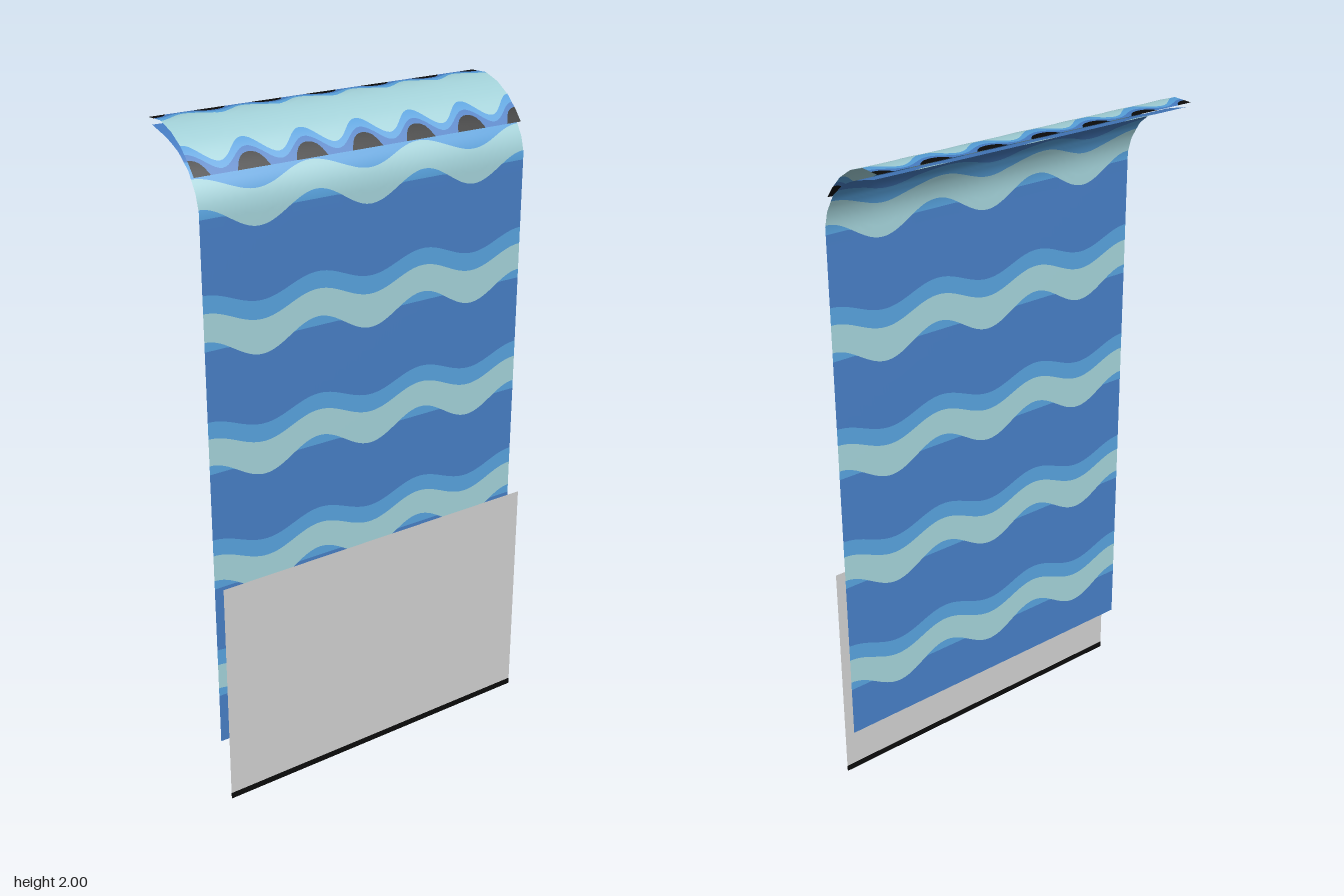
import * as THREE from 'three';

const WIDTH = 1.08;
const mat = (name, color) => {
  const m = new THREE.MeshStandardMaterial({ color, side: THREE.DoubleSide });
  m.name = name;
  return m;
};

// Side profile of a bent sheet as [z, y] points, looked up by distance along it
function makeProfile(pts) {
  const dist = [0];
  for (let i = 1; i < pts.length; i++) {
    dist.push(dist[i - 1] + Math.hypot(pts[i][0] - pts[i - 1][0], pts[i][1] - pts[i - 1][1]));
  }
  const length = dist[dist.length - 1];
  const at = (s) => {
    s = THREE.MathUtils.clamp(s, 0, length);
    let i = 1;
    while (i < pts.length - 1 && s > dist[i]) i++;
    const t = (s - dist[i - 1]) / (dist[i] - dist[i - 1]);
    return [0, 1].map((k) => THREE.MathUtils.lerp(pts[i - 1][k], pts[i][k], t));
  };
  return { length, at };
}

// One coloured band of a bent sheet, between the wavy edges lo(x) and hi(x)
function bandGeometry(profile, lo, hi, nx = 108, ny = 6) {
  const geo = new THREE.PlaneGeometry(WIDTH, 1, nx, ny);
  const pos = geo.attributes.position, nor = geo.attributes.normal;
  for (let i = 0; i < pos.count; i++) {
    const x = pos.getX(i);
    const s = THREE.MathUtils.clamp(
      THREE.MathUtils.lerp(lo(x), hi(x), pos.getY(i) + 0.5), 0, profile.length);
    const [z, y] = profile.at(s);
    const a = profile.at(s - 0.025), b = profile.at(s + 0.025);
    const n = new THREE.Vector3(0, a[0] - b[0], b[1] - a[1]).normalize();
    pos.setXYZ(i, x, y, z);
    nor.setXYZ(i, n.x, n.y, n.z);
  }
  return geo;
}

// Stacks bands from the list of edges; the last band runs to the sheet's end
function bandedSheet(name, profile, edges) {
  const group = new THREE.Group();
  group.name = name;
  edges.forEach(([lo, material], i) => {
    const hi = i + 1 < edges.length ? edges[i + 1][0] : () => profile.length;
    const mesh = new THREE.Mesh(bandGeometry(profile, lo, hi), material);
    mesh.name = `${name}Band${i + 1}`;
    group.add(mesh);
  });
  return group;
}

export function createModel() {
  const model = new THREE.Group();
  model.name = 'waterfall';
  const deep = mat('deepBlue', 0x457bc0);
  const mid = mat('midBlue', 0x559ed8);
  const pale = mat('paleTeal', 0x9fcdd4);
  const grey = mat('grey', 0xcacaca);
  const black = mat('black', 0x0a0a0a);

  // Falling sheet: straight below, curling back at the top
  const bottom = 0.178;
  const fall = makeProfile([
    [0.098, bottom], [0.098, 1.8], [0.085, 1.845], [0.053, 1.897],
    [0, 1.94], [-0.06, 1.963], [-0.13, 1.98],
  ]);
  const wave = (x) => Math.cos((2 * Math.PI * x) / 0.36);
  const fallEdges = [[() => 0, deep]];
  for (let k = -3; k <= 2; k++) {
    const shift = 0.36 * k - bottom;
    const paleLow = (x) => shift + 1.41 - 0.035 * wave(x);
    fallEdges.push(
      [(x) => Math.min(paleLow(x), shift + 1.418), mid],
      [paleLow, pale],
      [(x) => shift + 1.5 - 0.025 * wave(x), mid],
      [(x) => shift + 1.552 - 0.023 * wave(x), deep],
    );
  }
  model.add(bandedSheet('fallingSheet', fall, fallEdges));

  // Curved crest over the top, scalloped along both long edges
  const crest = makeProfile([
    [0.08, 1.885], [0.055, 1.916], [0.018, 1.952], [-0.03, 1.982],
    [-0.085, 2], [-0.148, 1.997],
  ]);
  const ripple = (x) => Math.cos((2 * Math.PI * x) / 0.18);
  const spot = (x, h) => {
    const d = (x - 0.18 * Math.round(x / 0.18)) / 0.045;
    return h * Math.sqrt(Math.max(0, 1 - d * d));
  };
  const L = crest.length;
  model.add(bandedSheet('crest', crest, [
    [() => 0, black],
    [(x) => spot(x, 0.048), deep],
    [(x) => 0.04 + 0.026 * ripple(x), mid],
    [(x) => 0.065 + 0.03 * ripple(x), pale],
    [(x) => L - 0.045 - 0.022 * ripple(x), mid],
    [(x) => L - 0.025 - 0.016 * ripple(x), deep],
    [(x) => L - spot(x, 0.027), black],
  ]));

  // Plain lower panel in front, with a dark strip along its foot
  const panel = (name, y0, y1, material) => {
    const mesh = new THREE.Mesh(new THREE.PlaneGeometry(WIDTH, y1 - y0), material);
    mesh.name = name;
    mesh.position.set(0, (y0 + y1) / 2, 0.148);
    model.add(mesh);
  };
  panel('lowerPanel', 0.02, 0.72, grey);
  panel('footStrip', 0, 0.02, black);

  return model;
}
